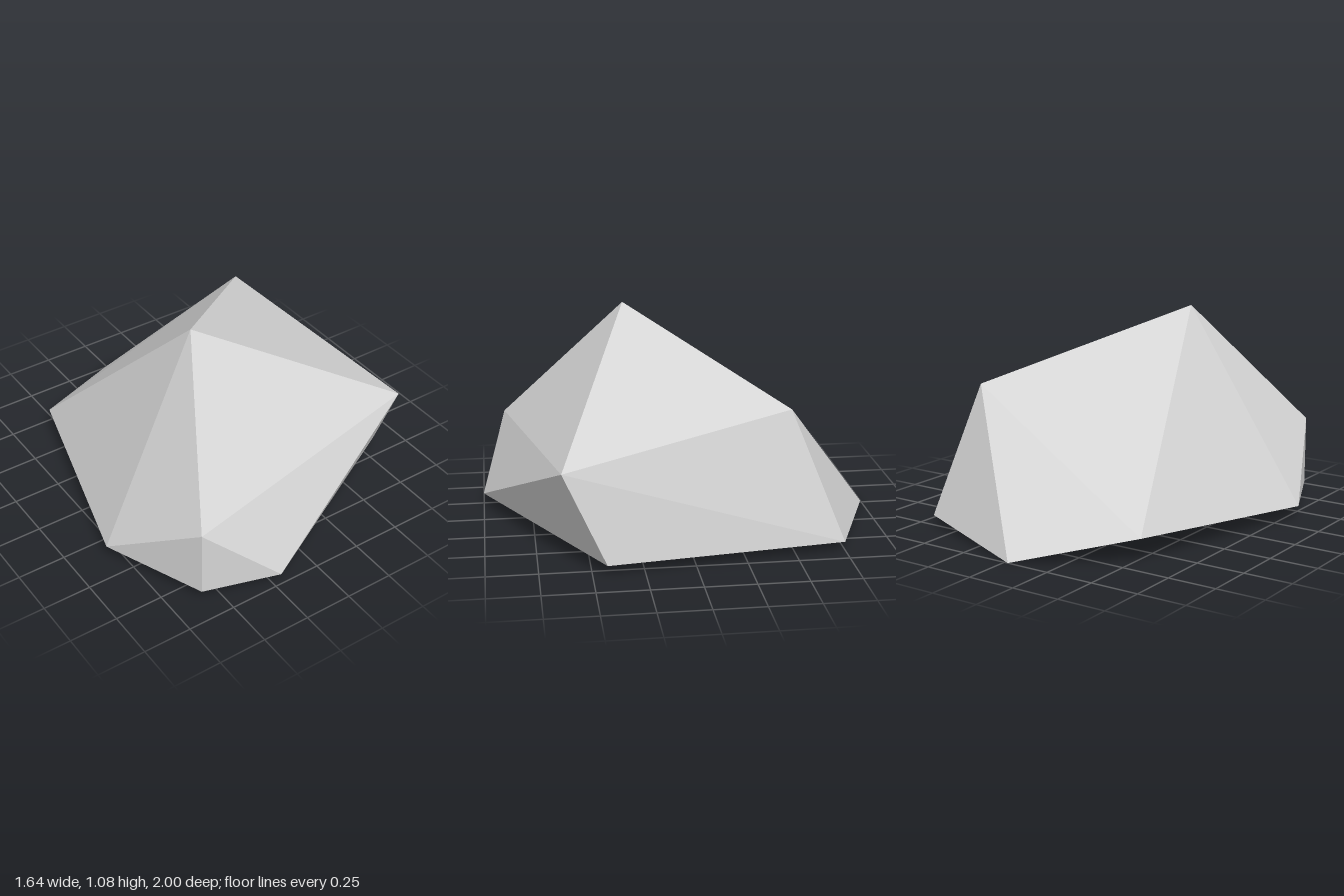
import * as THREE from 'three';
import { ConvexGeometry } from 'three/addons/geometries/ConvexGeometry.js';

export function createModel() {
  const group = new THREE.Group();
  group.name = 'rock';

  const stone = new THREE.MeshStandardMaterial({ color: 0xd4d4d4 });
  stone.name = 'pale stone grey';

  // Corners of the faceted boulder
  const upper = [
    [-0.24, 1.077, 0.25],  // peak
    [0.55, 0.7, -0.49],    // back shoulder
    [0.782, 0.5, 0.635],   // front shoulder
    [-0.597, 0.408, 0.873], // low front corner
  ];
  const base = [
    [-0.823, 0.073, 0.37],
    [-0.597, 0.053, 0.873],
    [-0.22, 0.065, 1.0],
    [0.822, 0.053, 0.43],
    [0.665, 0.05, -0.745],
    [-0.02, 0, -1.0],
    [-0.553, 0.13, -0.68],
  ];

  // Flat-faced hull around the corners
  const points = [...upper, ...base].map((p) => new THREE.Vector3(...p));
  const boulder = new THREE.Mesh(new ConvexGeometry(points), stone);
  boulder.name = 'boulder';
  group.add(boulder);

  return group;
}
